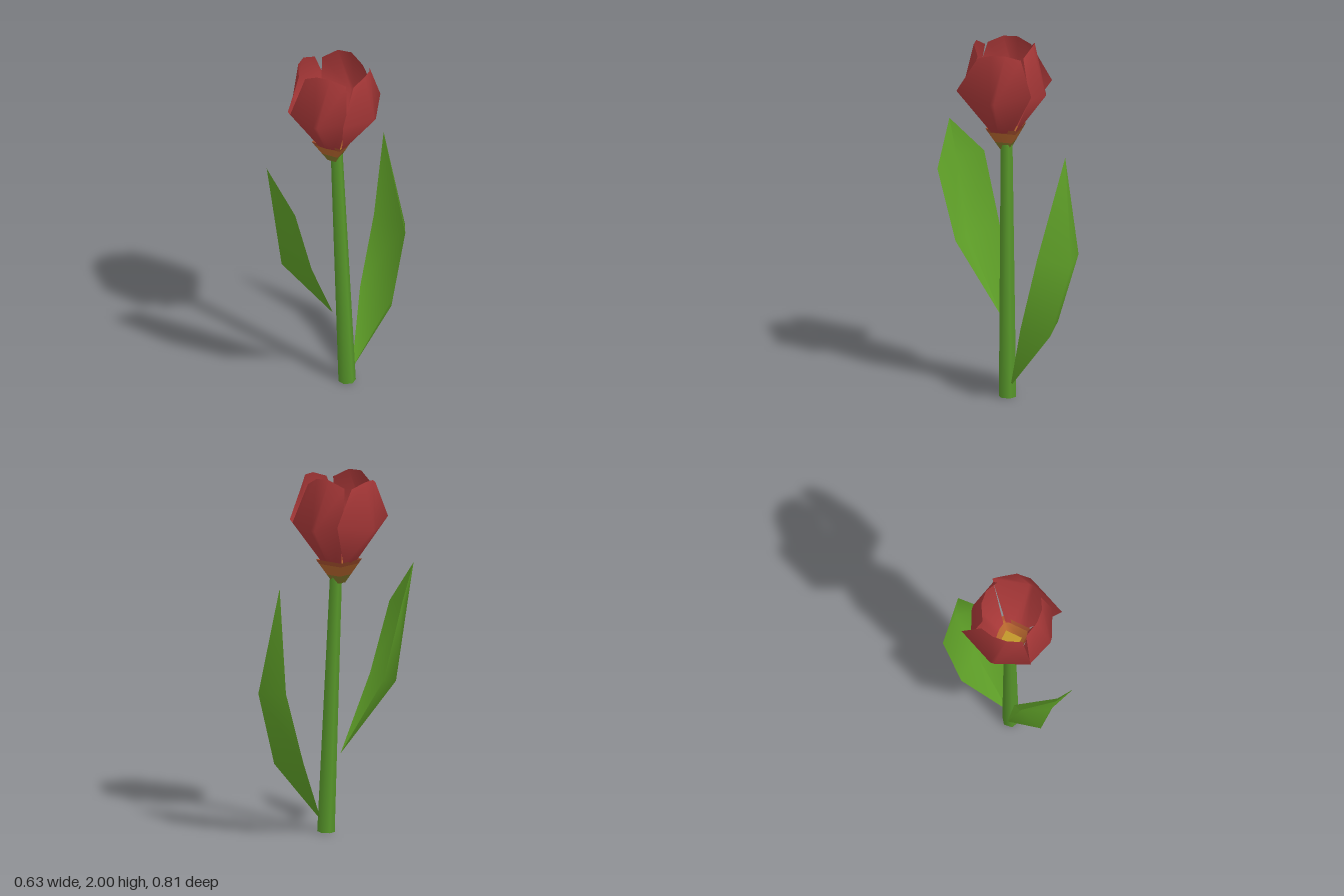
import * as THREE from 'three';

const mat = (name, color, side = THREE.DoubleSide) => {
  const m = new THREE.MeshStandardMaterial({ color, side });
  m.name = name;
  return m;
};

// Smooth open sheet lofted through rows of points
function sheet(rows) {
  const n = rows[0].length, index = [];
  for (let r = 0; r < rows.length - 1; r++) {
    for (let c = 0; c < n - 1; c++) {
      const a = r * n + c, b = a + 1, d = a + n, e = d + 1;
      index.push(a, b, e, a, e, d);
    }
  }
  const g = new THREE.BufferGeometry();
  g.setAttribute('position', new THREE.Float32BufferAttribute(rows.flat(2), 3));
  g.setIndex(index);
  g.computeVertexNormals();
  return g;
}

export function createModel() {
  const model = new THREE.Group();
  model.name = 'tulip';
  const leafGreen = mat('leaf green', 0x5fa028);
  const stemGreen = mat('stem green', 0x57962a, THREE.FrontSide);
  const petalRed = mat('petal red', 0xa83838);
  const olive = mat('olive', 0x84782c);
  const orange = mat('orange', 0xb9682f);
  const rust = mat('rust', 0xa9522f);
  const yellow = mat('yellow', 0xc0962a);

  const add = (name, geometry, material, parent = model) => {
    const m = new THREE.Mesh(geometry, material);
    m.name = name;
    parent.add(m);
    return m;
  };

  // Slanted, tapering stem
  const foot = new THREE.Vector3(0.055, 0.005, -0.01), head = new THREE.Vector3(0, 1.43, 0.005);
  const dir = head.clone().sub(foot);
  const stem = add('stem', new THREE.CylinderGeometry(0.033, 0.048, dir.length(), 6), stemGreen);
  stem.position.copy(foot).add(head).multiplyScalar(0.5);
  stem.quaternion.setFromUnitVectors(new THREE.Vector3(0, 1, 0), dir.normalize());

  // Leaves: folded sheets, each from base point through two creased rows to the tip
  const leaf = (name, base, low, high, tip) =>
    add(name, sheet([[base, base, base], low, high, [tip, tip, tip]]), leafGreen);
  leaf('backLeaf', [0.075, 0.07, -0.03],
    [[0.025, 0.44, -0.285], [0.22, 0.41, -0.276], [0.272, 0.46, -0.12]],
    [[0.06, 0.84, -0.405], [0.245, 0.82, -0.397], [0.315, 0.875, -0.22]],
    [0.14, 1.41, -0.345]);
  leaf('frontLeaf', [-0.01, 0.44, 0.035],
    [[-0.035, 0.85, 0.295], [-0.223, 0.83, 0.265], [-0.26, 0.87, 0.085]],
    [[-0.09, 1.24, 0.405], [-0.258, 1.27, 0.329], [-0.315, 1.29, 0.185]],
    [-0.27, 1.48, 0.37]);

  // Square cup under the petals, in colour bands
  const cup = new THREE.Group();
  cup.name = 'cup';
  cup.position.set(-0.015, 0, 0.012);
  cup.rotation.y = -0.12;
  model.add(cup);
  const radius = y => 0.035 + (y - 1.4) * 0.7;
  for (const [name, y0, y1, material] of [
    ['cupBase', 1.4, 1.445, olive], ['cupMiddle', 1.445, 1.505, orange], ['cupRim', 1.505, 1.53, rust],
  ]) {
    const g = new THREE.CylinderGeometry(radius(y1), radius(y0), y1 - y0, 4, 1, true);
    g.rotateY(Math.PI / 4);
    add(name, g, material, cup).position.y = (y0 + y1) / 2;
  }
  const floor = new THREE.CircleGeometry(radius(1.447), 4);
  floor.rotateZ(Math.PI / 4).rotateX(-Math.PI / 2);
  add('flowerHeart', floor, yellow, cup).position.y = 1.447;

  // Petals: x is sideways, z outward; opposite petals are half-turn copies
  const bloom = new THREE.Group();
  bloom.name = 'bloom';
  bloom.position.set(-0.01, 0, 0.02);
  model.add(bloom);
  const petal = (left, crease, right, tipOut, tipY) => sheet([
    [[-0.06, 1.51, 0.07], [-0.02, 1.51, 0.08], [0.02, 1.51, 0.08], [0.06, 1.51, 0.07]],
    [left, [crease[0] - 0.012, crease[1], crease[2]], [crease[0] + 0.012, crease[1], crease[2]], right],
    [[-0.12, 1.955, tipOut - 0.035], [-0.04, tipY, tipOut], [0.04, tipY, tipOut], [0.12, 1.955, tipOut - 0.035]],
  ]);
  const front = petal([-0.19, 1.74, 0.175], [-0.02, 1.72, 0.235], [0.145, 1.76, 0.185], 0.162, 2);
  const side = petal([-0.24, 1.76, 0.145], [-0.025, 1.72, 0.25], [0.185, 1.76, 0.2], 0.195, 1.985);
  [['frontPetal', front, 0], ['leftPetal', side, 1], ['backPetal', front, 2], ['rightPetal', side, 3]]
    .forEach(([name, g, turn]) => {
      add(name, g, petalRed, bloom).rotation.y = turn * Math.PI / 2;
    });

  return model;
}
